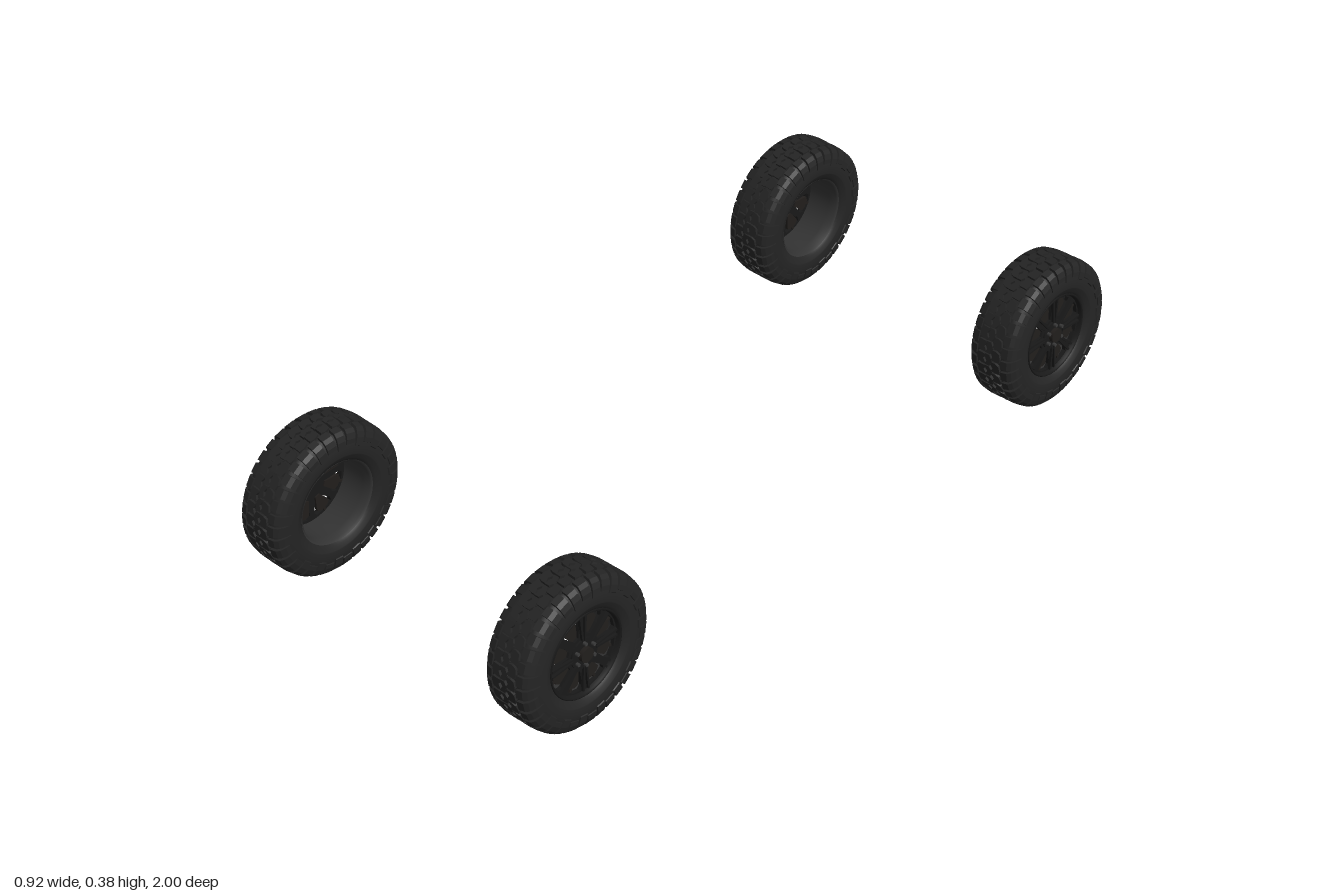
import * as THREE from 'three';
import { mergeGeometries } from 'three/addons/utils/BufferGeometryUtils.js';

const mat = (name, color, side = THREE.FrontSide) => {
  const m = new THREE.MeshStandardMaterial({ color, side });
  m.name = name;
  return m;
};
const V = (pts) => pts.map(([x, y]) => new THREE.Vector2(x, y));
const polar = (r, deg) => [r * Math.cos(deg * Math.PI / 180), r * Math.sin(deg * Math.PI / 180)];

// Lathe around the x axis from [axial, radius] points
function latheX(pts, segments = 72) {
  const g = new THREE.LatheGeometry(V(pts.map(([a, r]) => [r, a])), segments);
  return g.rotateZ(-Math.PI / 2);
}
// Flat shape extruded outward along x, starting at the given axial position
function plateX(shape, from, depth) {
  const g = new THREE.ExtrudeGeometry(shape, { depth, bevelEnabled: false, curveSegments: 48 });
  return g.translate(0, 0, from).rotateY(Math.PI / 2);
}
function cylX(r, length, x, sides = 32) {
  return new THREE.CylinderGeometry(r, r, length, sides).rotateZ(-Math.PI / 2).translate(x, 0, 0);
}

const COUNT = 36;
// Tread: zigzag centre rib, blocks beside it, lugs that wrap over the shoulder
function treadGeometry() {
  const parts = [];
  const step = Math.PI * 2 / COUNT;
  const block = (pts) => new THREE.ExtrudeGeometry(new THREE.Shape(V(pts)), { depth: 0.009, bevelEnabled: false })
    .translate(0, 0, 0.1815);
  const rib = block([[-0.011, -0.015], [0.003, -0.015], [0.011, 0], [0.003, 0.015], [-0.011, 0.015], [-0.003, 0]]);
  const side = block([[0.007, -0.013], [0.031, -0.015], [0.034, -0.004], [0.030, 0.010], [0.020, 0.014], [0.007, 0.014], [0.015, 0]]);
  const lug = (reach, w) => new THREE.ExtrudeGeometry(new THREE.Shape(V([
    [0.036, 0.180], [0.060 + reach * 0.5, 0.152 - reach], [0.0665 + reach * 0.2, 0.155 - reach],
    [0.0655, 0.166], [0.060, 0.179], [0.052, 0.187], [0.036, 0.1900],
  ])), { depth: w, bevelEnabled: false }).translate(0, 0, -w / 2);
  const lugs = [lug(0, 0.025), lug(0.007, 0.022)];
  for (let i = 0; i < COUNT; i++) {
    parts.push(rib.clone().rotateX(i * step));
    for (const flip of [0, 1]) {
      const turn = (g, a) => {
        const c = g.clone();
        if (flip) c.applyMatrix4(new THREE.Matrix4().makeRotationFromEuler(new THREE.Euler(0, 0, 0)));
        return c.rotateX(a);
      };
      const angle = (i + flip * 0.5) * step;
      const sideBlock = turn(side, angle + step * 0.5);
      const shoulder = turn(lugs[i % 2], angle);
      // half a turn about z carries a part to the other side of the tyre
      if (flip) [sideBlock, shoulder].forEach((g) => g.rotateZ(Math.PI));
      parts.push(sideBlock, shoulder);
    }
  }
  return mergeGeometries(parts);
}

// Rim face with eight open windows
function faceGeometry() {
  const s = new THREE.Shape();
  s.absarc(0, 0, 0.104, 0, Math.PI * 2);
  for (let i = 0; i < 8; i++) {
    const c = i * 45 + 22.5;
    const pts = [[0.046, -8], [0.07, -15], [0.086, -18], [0.096, -14], [0.098, 0],
      [0.096, 14], [0.086, 18], [0.07, 15], [0.046, 8]].map(([r, a]) => polar(r, c + a));
    s.holes.push(new THREE.Path(V(pts)));
  }
  return plateX(s, 0.036, 0.010);
}

// Dark inserts that fill most of each window
function insertGeometry() {
  const parts = [];
  for (let i = 0; i < 8; i++) {
    const c = i * 45 + 22.5;
    const pts = [[0.042, -9], [0.07, -13], [0.083, -13], [0.089, -6], [0.089, 6],
      [0.083, 13], [0.07, 13], [0.042, 9]].map(([r, a]) => polar(r, c + a));
    parts.push(plateX(new THREE.Shape(V(pts)), 0.032, 0.008));
  }
  // Narrow bridges joining the inserts to the outer ring
  for (let i = 0; i < 8; i++) {
    parts.push(new THREE.BoxGeometry(0.006, 0.016, 0.006).translate(0.037, 0.093, 0)
      .rotateX((i * 45 + 22.5) * Math.PI / 180));
  }
  return mergeGeometries(parts.map((g) => g.toNonIndexed ? (g.index ? g.toNonIndexed() : g) : g));
}

// Raised twin ridges on every spoke
function spokeGeometry() {
  const parts = [];
  for (let i = 0; i < 8; i++) {
    for (const s of [-1, 1]) {
      parts.push(new THREE.BoxGeometry(0.008, 0.064, 0.005).rotateX(s * 0.07)
        .translate(0.048, 0.066, s * 0.0055).rotateX(i * Math.PI / 4));
    }
  }
  return mergeGeometries(parts);
}

function boltGeometry() {
  const parts = [];
  for (let i = 0; i < 6; i++) {
    parts.push(cylX(0.0045, 0.010, 0.053, 6).translate(0, 0.028, 0).rotateX(i * Math.PI / 3));
  }
  return mergeGeometries(parts);
}

export function createModel() {
  const rubber = mat('tyre rubber', 0x242424);
  const black = mat('rim black', 0x191919);
  const insert = mat('insert dark', 0x211e1c);
  const barrelGrey = mat('barrel grey', 0x333333, THREE.DoubleSide);
  const steel = mat('bolt grey', 0x3a3a3a);

  // Carcass profile, from the inner bead over the tread to the outer bead
  const half = [[0.046, 0.103], [0.054, 0.106], [0.060, 0.114], [0.0645, 0.124], [0.0655, 0.126],
    [0.0665, 0.140], [0.064, 0.156], [0.058, 0.172], [0.050, 0.181], [0.036, 0.1845]];
  const carcass = [...half.map(([a, r]) => [-a, r]), ...half.slice().reverse()];

  const pieces = [
    ['tyreBody', latheX(carcass), rubber],
    ['treadBlocks', treadGeometry(), rubber],
    ['rimBarrel', latheX([[-0.056, 0.107], [-0.052, 0.101], [-0.03, 0.100], [0.03, 0.102], [0.046, 0.104]]), barrelGrey],
    ['rimLip', latheX([[0.044, 0.108], [0.056, 0.108], [0.058, 0.105], [0.055, 0.102], [0.044, 0.100]]), black],
    ['rimFace', faceGeometry(), black],
    ['windowInserts', insertGeometry(), insert],
    ['spokeRidges', spokeGeometry(), black],
    ['hub', cylX(0.038, 0.018, 0.041), black],
    ['hubCap', cylX(0.018, 0.016, 0.052), insert],
    ['wheelBolts', boltGeometry(), steel],
  ];

  const model = new THREE.Group();
  model.name = 'wheelSet';
  for (const [zName, z] of [['front', 0.809], ['rear', -0.809]]) {
    for (const [xName, side] of [['Left', 1], ['Right', -1]]) {
      const wheel = new THREE.Group();
      wheel.name = zName + xName + 'Wheel';
      for (const [name, geometry, material] of pieces) {
        const mesh = new THREE.Mesh(geometry, material);
        mesh.name = name;
        wheel.add(mesh);
      }
      // Slight camber: the top leans inward
      wheel.rotation.set(0, side < 0 ? Math.PI : 0, 0.025);
      wheel.position.set(side * 0.39, 0.1925, z);
      model.add(wheel);
    }
  }
  return model;
}
